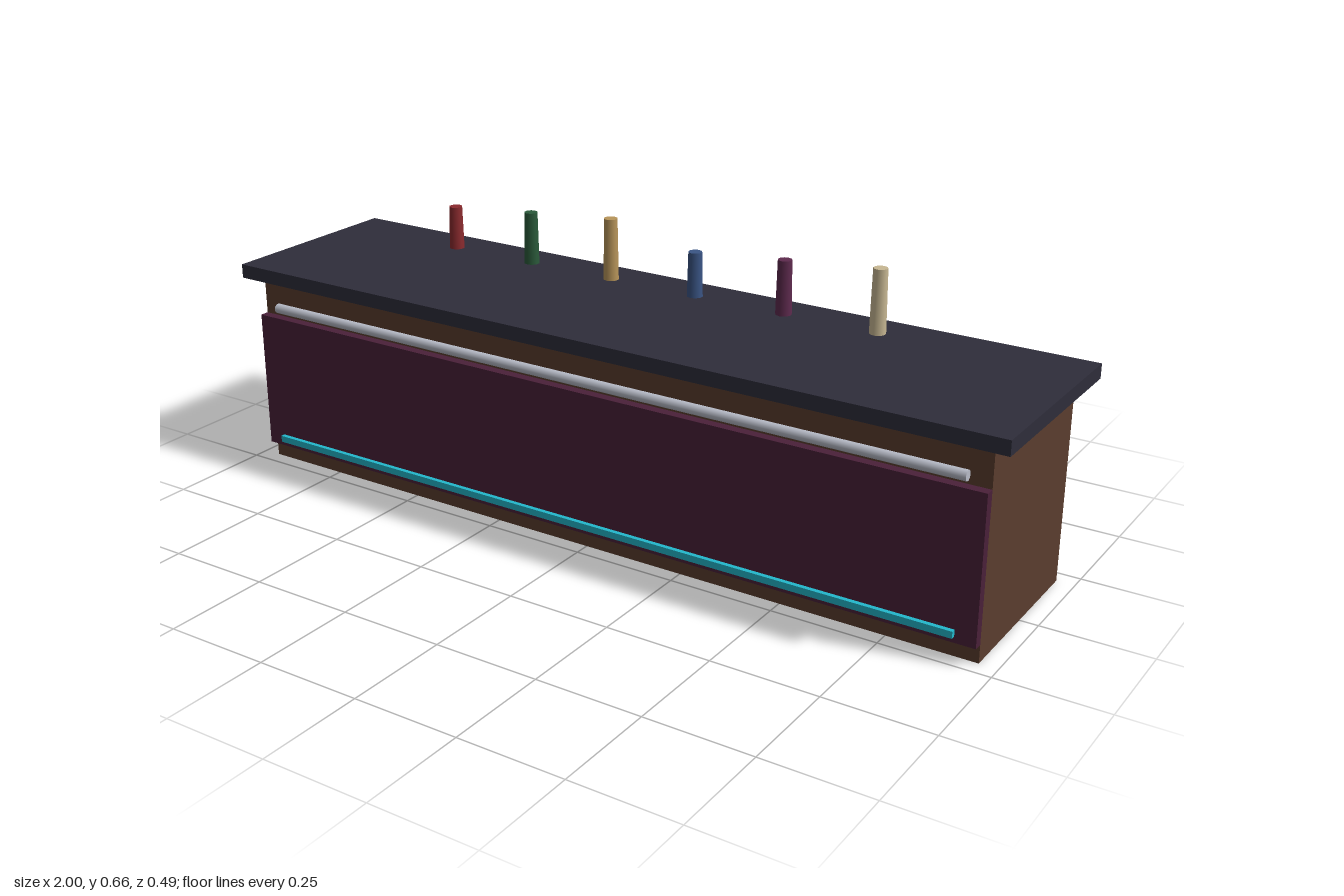
import * as THREE from 'three';

const paint = (color) => new THREE.MeshStandardMaterial({ color });

export function createModel() {
  const bar = new THREE.Group();
  bar.name = 'barCounter';

  function add(name, geometry, color, x, y, z) {
    const mesh = new THREE.Mesh(geometry, paint(color));
    mesh.name = name;
    mesh.position.set(x, y, z);
    bar.add(mesh);
    return mesh;
  }

  // Box given by its width and its y and z extents, centred on x = 0
  function slab(name, color, width, y0, y1, z0, z1) {
    const geometry = new THREE.BoxGeometry(width, y1 - y0, z1 - z0);
    return add(name, geometry, color, 0, (y0 + y1) / 2, (z0 + z1) / 2);
  }

  // Counter: wooden body, overhanging top, front panel and glowing strip
  slab('body', 0x5a3d2e, 1.915, 0, 0.468, -0.213, 0.213);
  slab('counterTop', 0x2e2d3a, 2, 0.474, 0.508, -0.245, 0.245);
  slab('frontPanel', 0x4a2039, 1.915, 0.043, 0.383, 0.213, 0.235);
  slab('lightStrip', 0x22b8cc, 1.82, 0.057, 0.073, 0.235, 0.246);

  // Round rail along the front, under the top
  const rail = add('rail', new THREE.CylinderGeometry(0.012, 0.012, 1.82, 10), 0xb8bcc8, 0, 0.405, 0.223);
  rail.rotation.z = Math.PI / 2;

  // Row of slightly tapered bottles in three heights
  const colors = [0x8b2a2e, 0x2a5a3a, 0xb8955a, 0x3a5585, 0x5e2a4e, 0xc8b893];
  colors.forEach((color, i) => {
    const height = 0.107 + 0.0213 * (i % 3);
    const geometry = new THREE.CylinderGeometry(0.0165, 0.019, height, 10);
    add('bottle' + (i + 1), geometry, color, -0.642 + 0.234 * i, 0.511 + height / 2, -0.149);
  });

  return bar;
}
